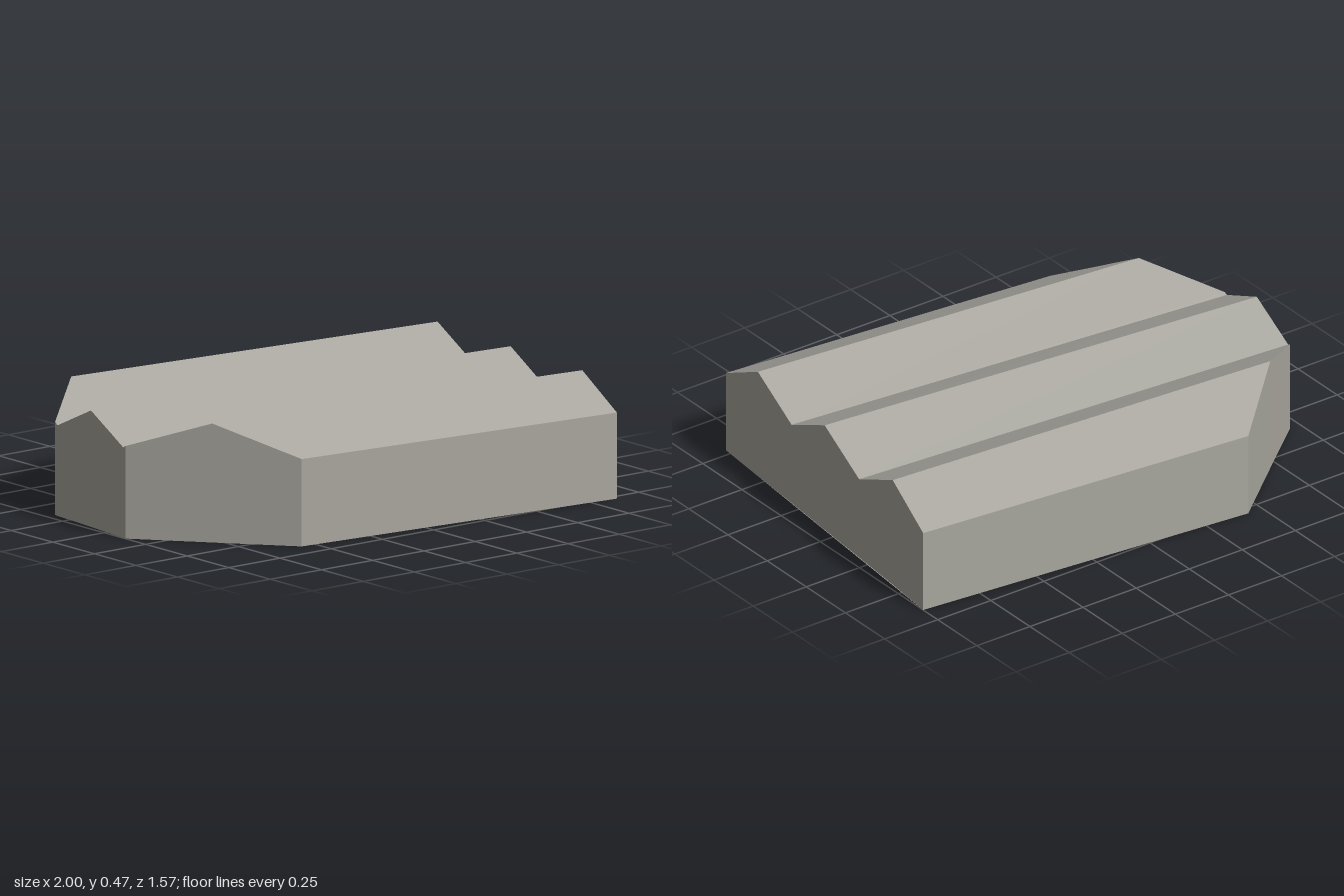
import * as THREE from 'three';

// Eave, ridge and valley points along the two gable ends, back to front
const left = [
  [-0.435, 0.336, -0.787], [-0.71, 0.465, -0.555], [-0.955, 0.362, -0.35],
  [-0.96, 0.352, -0.33], [-0.977, 0.453, -0.107], [-1, 0.353, 0.115],
  [-0.999, 0.36, 0.127], [-0.785, 0.463, 0.385], [-0.563, 0.34, 0.65],
];
const right = [
  [1, 0.334, -0.657], [0.976, 0.454, -0.43], [0.954, 0.34, -0.186], [0.932, 0.454, 0.064],
  [0.91, 0.34, 0.305], [0.89, 0.454, 0.547], [0.868, 0.335, 0.782],
];
// Index into the left end where each roof slope begins
const starts = [0, 1, 3, 4, 5, 7, 8];

// Mesh made of flat polygons, each fanned into triangles
function polygonMesh(name, polygons, material) {
  const pos = [];
  for (const p of polygons)
    for (let i = 1; i < p.length - 1; i++) pos.push(...p[0], ...p[i], ...p[i + 1]);
  const geo = new THREE.BufferGeometry();
  geo.setAttribute('position', new THREE.Float32BufferAttribute(pos, 3));
  geo.computeVertexNormals();
  const mesh = new THREE.Mesh(geo, material);
  mesh.name = name;
  return mesh;
}

export function createModel() {
  const group = new THREE.Group();
  group.name = 'sawtoothHall';
  const grey = new THREE.MeshStandardMaterial({ color: 0xa8a69e });
  grey.name = 'concrete grey';

  // Six roof slopes between the gable ends
  const slopes = [];
  for (let i = 0; i < 6; i++)
    slopes.push([right[i], ...left.slice(starts[i], starts[i + 1] + 1), right[i + 1]]);
  group.add(polygonMesh('roof', slopes, grey));

  // Vertical walls around the outline
  const outline = [...left, ...[...right].reverse()];
  const ground = ([x, , z]) => [x, 0, z];
  const walls = outline.map((a, i) => {
    const b = outline[(i + 1) % outline.length];
    return [ground(a), ground(b), b, a];
  });
  group.add(polygonMesh('walls', walls, grey));

  // Underside
  group.add(polygonMesh('floor', [outline.map(ground).reverse()], grey));
  return group;
}
